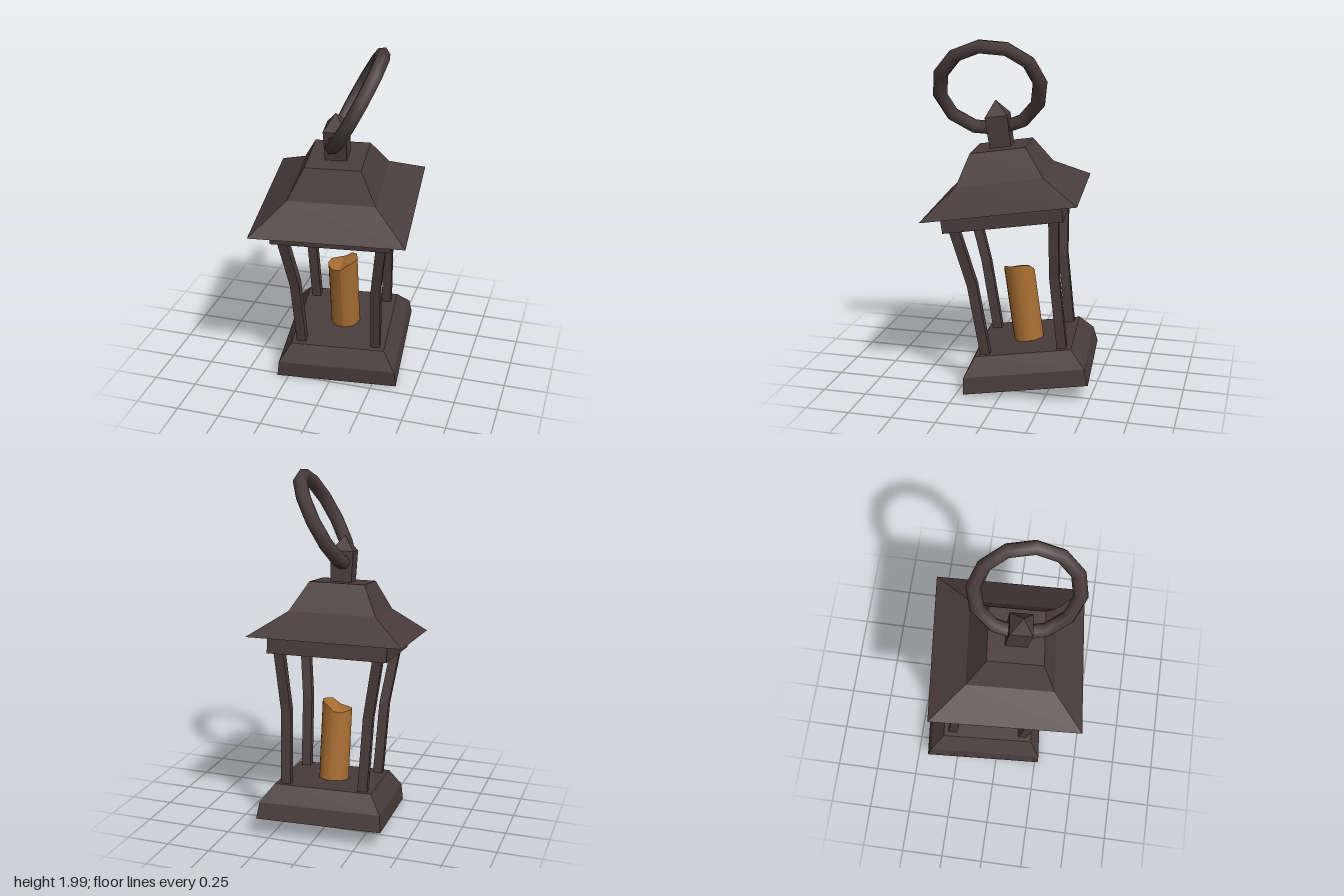
import * as THREE from 'three';

const iron = new THREE.MeshStandardMaterial({ color: 0x4a3c3c });
iron.name = 'dark iron';
const wax = new THREE.MeshStandardMaterial({ color: 0xa86e32 });
wax.name = 'amber wax';

// Give every face its own normal
function faceted(geometry) {
  const flat = geometry.toNonIndexed();
  flat.computeVertexNormals();
  return flat;
}

function part(name, geometry, material) {
  const mesh = new THREE.Mesh(geometry, material);
  mesh.name = name;
  return mesh;
}

// Solid with a square plan from [half width, height] pairs, bottom to top
function squareStack(profile) {
  const points = profile.map(([half, y]) => new THREE.Vector2(half * Math.SQRT2, y));
  points.unshift(new THREE.Vector2(0, profile[0][1]));
  points.push(new THREE.Vector2(0, profile[profile.length - 1][1]));
  return faceted(new THREE.LatheGeometry(points, 4, Math.PI / 4));
}

// Corner post that flares outwards towards the roof
function postGeometry(sx, sz) {
  const thickness = 0.055;
  const levels = [[0.248, 0.18], [0.262, 0.61], [0.308, 0.96]];
  const geometry = new THREE.BoxGeometry(thickness, 2, thickness, 1, 2, 1);
  const p = geometry.attributes.position;
  for (let i = 0; i < p.count; i++) {
    const [outer, y] = levels[Math.round(p.getY(i)) + 1];
    const centre = outer - thickness / 2;
    p.setXYZ(i, p.getX(i) + sx * centre, y, p.getZ(i) + sz * centre);
  }
  return faceted(geometry);
}

// Candle with an unevenly melted top
function candleGeometry() {
  const base = 0.18;
  const geometry = new THREE.CylinderGeometry(0.088, 0.088, 1, 12);
  const p = geometry.attributes.position;
  for (let i = 0; i < p.count; i++) {
    const x = p.getX(i), z = p.getZ(i);
    const rise = THREE.MathUtils.smoothstep(x, -0.02, 0.06);
    const drop = THREE.MathUtils.smoothstep(-z, 0.03, 0.088);
    p.setY(i, p.getY(i) < 0 ? base : 0.602 + 0.045 * rise - 0.015 * drop);
  }
  geometry.computeVertexNormals();
  return geometry;
}

export function createModel() {
  const model = new THREE.Group();
  model.name = 'lantern';

  // The whole lantern leans forward and is turned slightly
  const body = new THREE.Group();
  body.name = 'lanternBody';
  body.position.set(0.003, 0.06, -0.115);
  body.rotation.set(0.141, 0.098, 0);
  model.add(body);

  body.add(part('base', squareStack([[0.356, 0], [0.344, 0.093], [0.276, 0.19]]), iron));

  for (const sx of [-1, 1]) {
    for (const sz of [-1, 1]) {
      const name = (sz > 0 ? 'front' : 'back') + (sx > 0 ? 'Left' : 'Right') + 'Post';
      body.add(part(name, postGeometry(sx, sz), iron));
    }
  }

  body.add(part('candle', candleGeometry(), wax));

  // Roof: frame under the eaves, flared roof, pointed finial
  body.add(part('roofFrame', squareStack([[0.336, 0.94], [0.336, 1.04]]), iron));
  body.add(part('roof', squareStack([[0.432, 1.035], [0.246, 1.172], [0.157, 1.336]]), iron));
  body.add(part('finial', squareStack([[0.06, 1.32], [0.064, 1.51], [0, 1.597]]), iron));

  // Carrying ring passes through the finial and leans to one side
  const ringGeometry = new THREE.TorusGeometry(0.28, 0.041, 6, 12);
  ringGeometry.rotateY(Math.PI / 2);
  const ring = part('carryingRing', ringGeometry, iron);
  ring.position.set(0.12, 1.675, 0);
  ring.rotation.z = -0.51;
  body.add(ring);

  return model;
}
